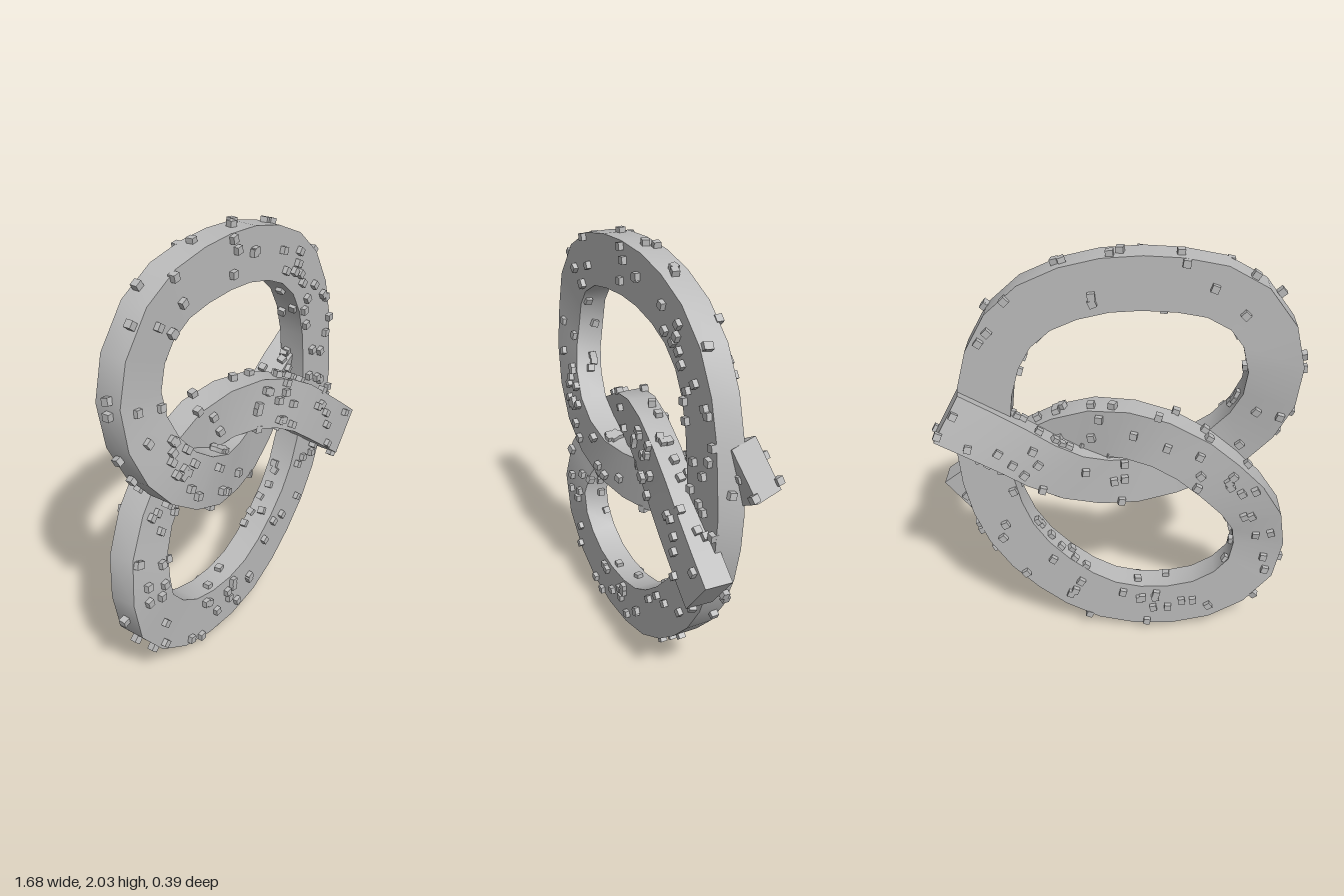
import * as THREE from 'three';
import { mergeGeometries } from 'three/addons/utils/BufferGeometryUtils.js';

const HALF_W = 0.121, HALF_T = 0.064, SEGMENTS = 50;

// Centre line: front end, lower loop, upper loop, back end
const path = new THREE.CatmullRomCurve3([
  [0.74, 0.71, 0.105], [0.55, 0.86, 0.095], [0.31, 1.04, 0.07], [0.1, 1.13, 0.03],
  [-0.1, 1.14, -0.02], [-0.3, 1.08, -0.06], [-0.52, 0.9, -0.06], [-0.66, 0.72, -0.03],
  [-0.7, 0.55, 0], [-0.66, 0.36, 0], [-0.47, 0.19, 0], [-0.2, 0.13, 0], [0.05, 0.17, 0],
  [0.28, 0.32, 0], [0.46, 0.52, 0], [0.56, 0.75, 0], [0.6, 1.0, 0], [0.59, 1.2, 0],
  [0.56, 1.42, 0], [0.48, 1.62, 0], [0.32, 1.77, 0], [0.05, 1.86, 0], [-0.2, 1.87, 0],
  [-0.45, 1.83, 0], [-0.63, 1.7, 0], [-0.705, 1.47, 0], [-0.67, 1.26, 0.03],
  [-0.53, 1.06, 0.06], [-0.3, 0.92, 0.06], [-0.1, 0.88, 0.02], [0.1, 0.9, -0.02],
  [0.27, 0.97, -0.06], [0.46, 1.09, -0.08], [0.75, 1.255, -0.092],
].map(p => new THREE.Vector3(...p)));

// Frame at u: width axis w, thickness axis d, tangent t; the back end rolls a little
function frameAt(u) {
  const p = path.getPointAt(u), t = path.getTangentAt(u);
  const w = new THREE.Vector3(t.y, -t.x, 0).normalize();
  w.applyAxisAngle(t, 0.25 * THREE.MathUtils.smoothstep(u, 0.88, 1));
  return { p, t, w, d: new THREE.Vector3().crossVectors(w, t).normalize() };
}

function doughGeometry() {
  const signs = [[1, 1], [-1, 1], [-1, -1], [1, -1]];
  const rings = [];
  for (let i = 0; i <= SEGMENTS; i++) {
    const { p, w, d } = frameAt(i / SEGMENTS);
    rings.push(signs.map(([a, b]) =>
      p.clone().addScaledVector(w, a * HALF_W).addScaledVector(d, b * HALF_T)));
  }
  const pos = [], idx = [];
  // Four long sides, each with its own vertices so the corners stay sharp
  for (let k = 0; k < 4; k++) {
    const base = pos.length / 3;
    rings.forEach((r, i) => {
      pos.push(...r[k].toArray(), ...r[(k + 1) % 4].toArray());
      if (i === SEGMENTS) return;
      const a = base + 2 * i;
      idx.push(a, a + 2, a + 3, a, a + 3, a + 1);
    });
  }
  // Square-cut ends
  [[rings[0], [0, 1, 2, 0, 2, 3]], [rings[SEGMENTS], [0, 2, 1, 0, 3, 2]]].forEach(([r, order]) => {
    const base = pos.length / 3;
    r.forEach(v => pos.push(...v.toArray()));
    idx.push(...order.map(n => base + n));
  });
  const g = new THREE.BufferGeometry();
  g.setAttribute('position', new THREE.Float32BufferAttribute(pos, 3));
  g.setIndex(idx);
  g.computeVertexNormals();
  return g;
}

// Salt cubes scattered over all four sides
function saltGeometry(count) {
  let seed = 17;
  const rnd = () => (seed = (seed * 16807) % 2147483647) / 2147483647;
  const cubes = [];
  for (let i = 0; i < count; i++) {
    const { p, t, w, d } = frameAt(rnd());
    const s = rnd() < 0.5 ? -1 : 1;
    const onFace = rnd() < 0.66;
    const out = onFace ? d : w, across = onFace ? w : d;
    const spread = (onFace ? HALF_W : HALF_T) * 0.88 * (rnd() * 2 - 1);
    p.addScaledVector(out, s * ((onFace ? HALF_T : HALF_W) + 0.006)).addScaledVector(across, spread);
    const m = new THREE.Matrix4().makeBasis(w, t.clone().negate(), d).setPosition(p);
    const spin = (rnd() - 0.5) * 0.5;
    cubes.push(new THREE.BoxGeometry(0.033, 0.033, 0.033)
      [onFace ? 'rotateZ' : 'rotateX'](spin).applyMatrix4(m.multiply(
        new THREE.Matrix4().makeRotationX(Math.PI).premultiply(
          new THREE.Matrix4().makeScale(1, 1, new THREE.Vector3().crossVectors(w, t.clone().negate()).dot(d) < 0 ? -1 : 1)))));
  }
  return mergeGeometries(cubes);
}

export function createModel() {
  const grey = new THREE.MeshStandardMaterial({ color: 0xbbbbbb });
  grey.name = 'plainGrey';
  const group = new THREE.Group();
  group.name = 'pretzel';
  const add = (name, geometry) => {
    const mesh = new THREE.Mesh(geometry, grey);
    mesh.name = name;
    group.add(mesh);
  };
  add('doughStrand', doughGeometry());
  add('saltCubes', saltGeometry(300));
  return group;
}
